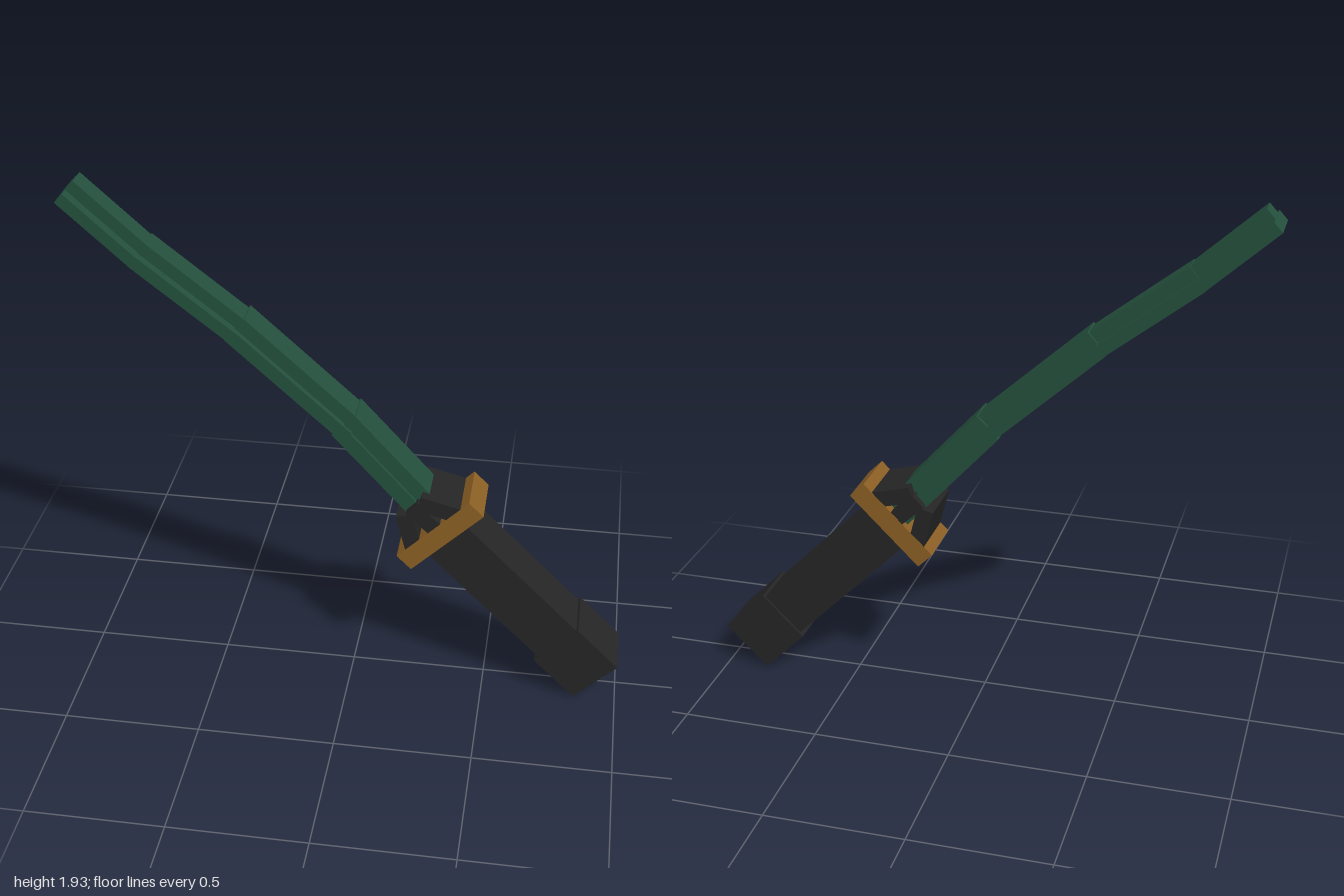
import * as THREE from 'three';

export function createModel() {
  const group = new THREE.Group();
  const mat = (name, color) => {
    const m = new THREE.MeshStandardMaterial({ color });
    m.name = name;
    return m;
  };
  const green = mat('dark green', 0x24503c);
  const black = mat('charcoal', 0x252525);
  const gold = mat('bronze', 0x8a5f24);

  // Places a mesh so that its local y runs from point a to point b in the xy plane
  const place = (name, geometry, material, [ax, ay], [bx, by]) => {
    const mesh = new THREE.Mesh(geometry, material);
    mesh.name = name;
    mesh.position.set((ax + bx) / 2, (ay + by) / 2, 0);
    mesh.rotation.z = Math.atan2(by - ay, bx - ax) - Math.PI / 2;
    group.add(mesh);
    return mesh;
  };
  // Box bar of given width (in plane) and depth (z), shifted sideways by offset
  const bar = (name, material, a, b, width, depth, offset = 0) => {
    const length = Math.hypot(b[0] - a[0], b[1] - a[1]);
    const geometry = new THREE.BoxGeometry(width, length, depth);
    geometry.translate(offset, 0, 0);
    return place(name, geometry, material, a, b);
  };

  // Grip, pommel and guard lie on the diagonal x + y = 1
  bar('grip', black, [0.78, 0.225], [0.335, 0.67], 0.19, 0.19);
  bar('pommel', black, [0.922, 0.078], [0.769, 0.231], 0.218, 0.21);
  bar('guard', gold, [0.352, 0.648], [0.299, 0.701], 0.36, 0.212);

  // Faceted stud at the end of the pommel
  const stud = new THREE.CylinderGeometry(0.045, 0.045, 0.08, 8).toNonIndexed();
  stud.computeVertexNormals();
  place('pommelStud', stud, green, [0.95, 0.05], [0.893, 0.107]);

  // Three prongs clasping the base of the blade; outer two mirror each other
  bar('middleProng', black, [0.336, 0.676], [0.222, 0.782], 0.06, 0.21);
  bar('lowerProng', black, [0.24, 0.577], [0.195, 0.751], 0.06, 0.21);
  bar('upperProng', black, [0.423, 0.76], [0.249, 0.805], 0.06, 0.21);

  // Curved blade: each segment has a wide lower half and a narrowing upper ridge
  const segments = [
    { a: [0.335, 0.685], b: [-0.027, 1.085], width: 0.112, ridge: 0.13 },
    { a: [0.002, 1.06], b: [-0.405, 1.43], width: 0.1, ridge: 0.11 },
    { a: [-0.385, 1.412], b: [-0.733, 1.685], width: 0.092, ridge: 0.09 },
    { a: [-0.715, 1.668], b: [-0.968, 1.898], width: 0.088, ridge: 0.08 },
  ];
  segments.forEach(({ a, b, width, ridge }, i) => {
    bar(`bladeBody${i + 1}`, green, a, b, width / 2, 0.155, -width / 4);
    bar(`bladeRidge${i + 1}`, green, a, b, width / 2, ridge, width / 4);
  });

  return group;
}
